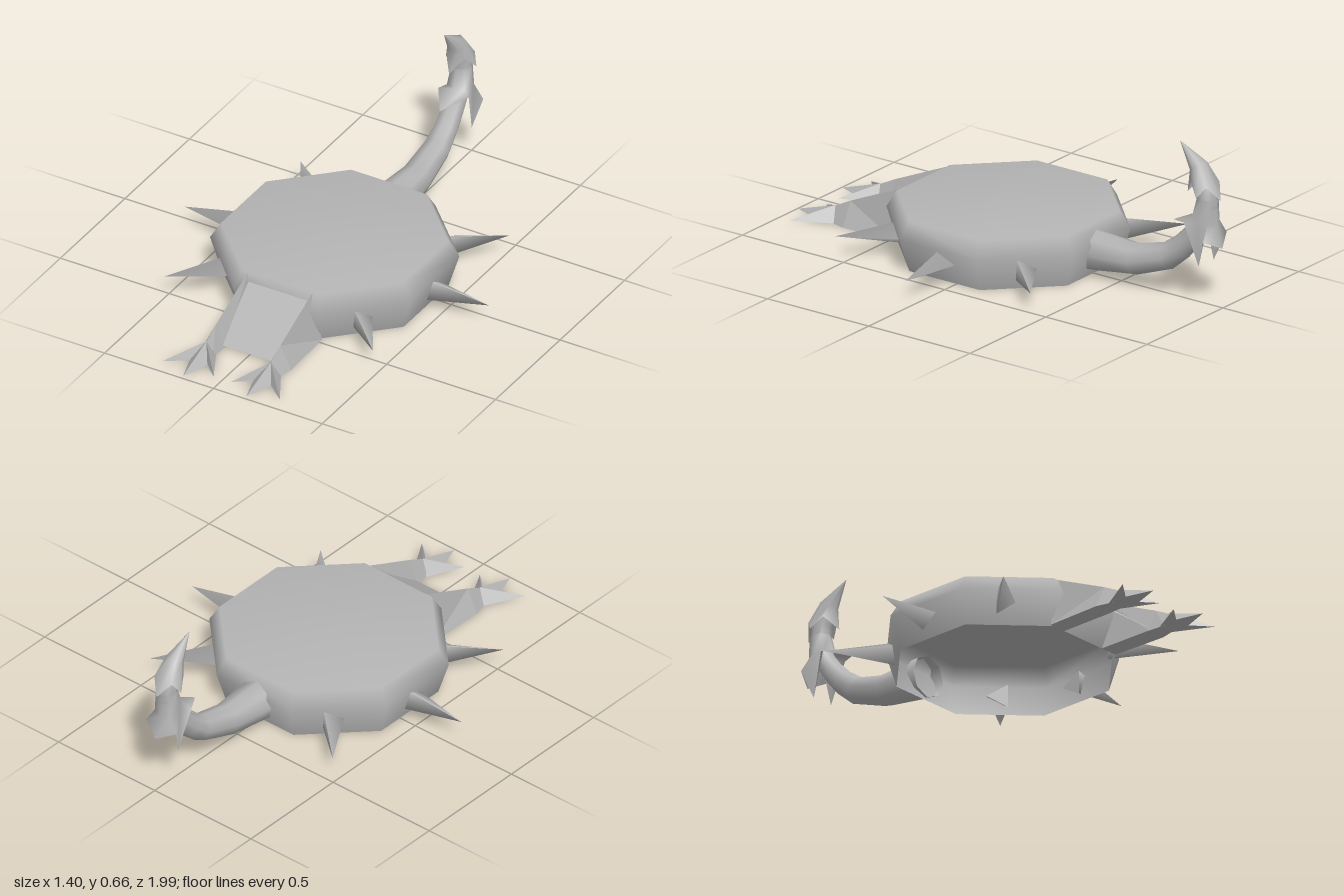
import * as THREE from 'three';

const SIDES = 8;

// Skin between rings of equal point count, smooth normals
function loft(rings) {
  const n = rings[0].length, pos = rings.flat(2), idx = [];
  for (let i = 0; i < rings.length - 1; i++) {
    for (let j = 0; j < n; j++) {
      const a = i * n + j, b = i * n + (j + 1) % n;
      idx.push(a, b, b + n, a, b + n, a + n);
    }
  }
  const g = new THREE.BufferGeometry();
  g.setAttribute('position', new THREE.Float32BufferAttribute(pos, 3));
  g.setIndex(idx);
  g.computeVertexNormals();
  return g;
}

// Flat-faced geometry from a few points and triangles
function facets(points, faces) {
  const g = new THREE.BufferGeometry();
  g.setAttribute('position', new THREE.Float32BufferAttribute(faces.flat().flatMap((i) => points[i]), 3));
  g.computeVertexNormals();
  return g;
}

// Ring around a centre in the x = 0 plane, square to the tangent (ty, tz)
function ring(y, z, r, ty, tz) {
  const l = Math.hypot(ty, tz);
  return Array.from({ length: SIDES }, (_, k) => {
    const a = (k / SIDES) * Math.PI * 2, s = r * Math.sin(a);
    return [r * Math.cos(a), y + s * tz / l, z - s * ty / l];
  });
}

// Mirrored jagged ring: right half given from back round to front
function jagged(back, backSide, side, frontSide, front) {
  const m = ([x, y, z]) => [-x, y, z];
  return [side, backSide, back, m(backSide), m(side), m(frontSide), front, frontSide];
}

export function createModel() {
  const model = new THREE.Group();
  const grey = new THREE.MeshStandardMaterial({ color: 0xb4b4b4, side: THREE.DoubleSide });
  grey.name = 'stone grey';
  const add = (name, geometry) => {
    const mesh = new THREE.Mesh(geometry, grey);
    mesh.name = name;
    model.add(mesh);
    return mesh;
  };

  // Octagonal shell, open underneath
  const k = 1 / Math.cos(Math.PI / 8);
  const profile = [[0.42, 0], [0.46, 0.14], [0.42, 0.21], [0, 0.212]]
    .map(([r, y]) => new THREE.Vector2(r * k, y));
  add('shell', new THREE.LatheGeometry(profile, 8, Math.PI / 8)).position.z = 0.06;

  // Three-sided spikes round the shell
  const spike = new THREE.ConeGeometry(0.057, 0.28, 3);
  spike.rotateY(Math.PI / 2);
  spike.rotateZ(-Math.PI / 2);
  // turn the flat side towards +z and move the base to the wall
  const flat = new THREE.ConeGeometry(0.057, 0.28, 3, 1);
  flat.rotateY(Math.PI);
  flat.rotateZ(-Math.PI / 2);
  flat.translate(0.56, 0, 0);
  for (const deg of [0, 47.5, 137, 180, 227.5, 317]) {
    const s = add('spike', flat);
    s.position.set(0, 0.088, 0.045);
    s.rotation.y = -THREE.MathUtils.degToRad(deg);
  }

  // Curling tail
  const path = [
    [0.1, -0.35, 0.088], [0.11, -0.57, 0.066], [0.16, -0.73, 0.056], [0.215, -0.8, 0.05],
    [0.275, -0.855, 0.046], [0.35, -0.908, 0.044], [0.42, -0.927, 0.044],
    [0.5, -0.917, 0.04], [0.58, -0.875, 0.025],
  ];
  add('tail', loft(path.map(([y, z, r], i) => {
    const a = path[Math.max(i - 1, 0)], b = path[Math.min(i + 1, path.length - 1)];
    return ring(y, z, r, b[0] - a[0], b[1] - a[1]);
  })));

  // Jagged collar and barbed tip
  add('tailCollar', loft([
    jagged([0, 0.25, -0.997], [0.078, 0.29, -0.96], [0.05, 0.17, -0.917], [0.07, 0.35, -0.86], [0, 0.32, -0.755]),
    ring(0.36, -0.915, 0.056, 1, -0.2),
    ring(0.45, -0.925, 0.044, 1, 0),
  ]));
  add('tailTip', loft([
    jagged([0, 0.45, -0.99], [0.045, 0.51, -0.95], [0.07, 0.465, -0.92], [0.042, 0.515, -0.875], [0, 0.456, -0.826]),
    ring(0.575, -0.88, 0.038, 1, 0.6),
    ring(0.66, -0.79, 0.001, 1, 1),
  ]));

  // Forelegs: ridged wedges narrowing to the ankle, with three-toed feet
  for (const s of [1, -1]) {
    const P = (list) => list.map(([x, y, z]) => [s * x, y, z]);
    const F = (list) => (s > 0 ? list : list.map(([a, b, c]) => [a, c, b]));
    const sections = [[0.48, 0.21, 0.11, 0.19], [0.73, 0.1, 0.112, 0.197], [0.81, 0.06, 0.118, 0.178]];
    const legPoints = sections.flatMap(([z, y, inner, outer]) => [[outer, 0, z], [0.148, y, z], [inner, 0, z]]);
    const legFaces = [];
    for (let i = 0; i < 2; i++) {
      for (let j = 0; j < 3; j++) {
        const a = i * 3 + j, b = i * 3 + (j + 1) % 3;
        legFaces.push([a, b + 3, b], [a, a + 3, b + 3]);
      }
    }
    legFaces.forEach((f) => f.reverse());
    add('foreleg', facets(P(legPoints), F(legFaces)));

    const outline = [
      [0.148, 0, 0.77], [0.118, 0, 0.78], [0.04, 0.005, 0.93], [0.106, 0, 0.868], [0.145, 0.005, 0.99],
      [0.186, 0, 0.868], [0.27, 0.005, 0.94], [0.18, 0, 0.78],
    ];
    const n = outline.length;
    const footPoints = [[0.148, 0.064, 0.805], [0.148, 0, 0.85], ...outline];
    const footFaces = outline.flatMap((_, i) => {
      const a = 2 + i, b = 2 + (i + 1) % n;
      return [[0, a, b], [1, b, a]];
    });
    add('foot', facets(P(footPoints), F(footFaces)));
  }

  // Sloping chest panel between the legs
  add('chestPanel', facets(
    [[-0.135, 0.178, 0.5], [0.135, 0.178, 0.5], [0.125, 0.012, 0.73], [-0.125, 0.012, 0.73]],
    [[0, 3, 2], [0, 2, 1]],
  ));

  return model;
}
